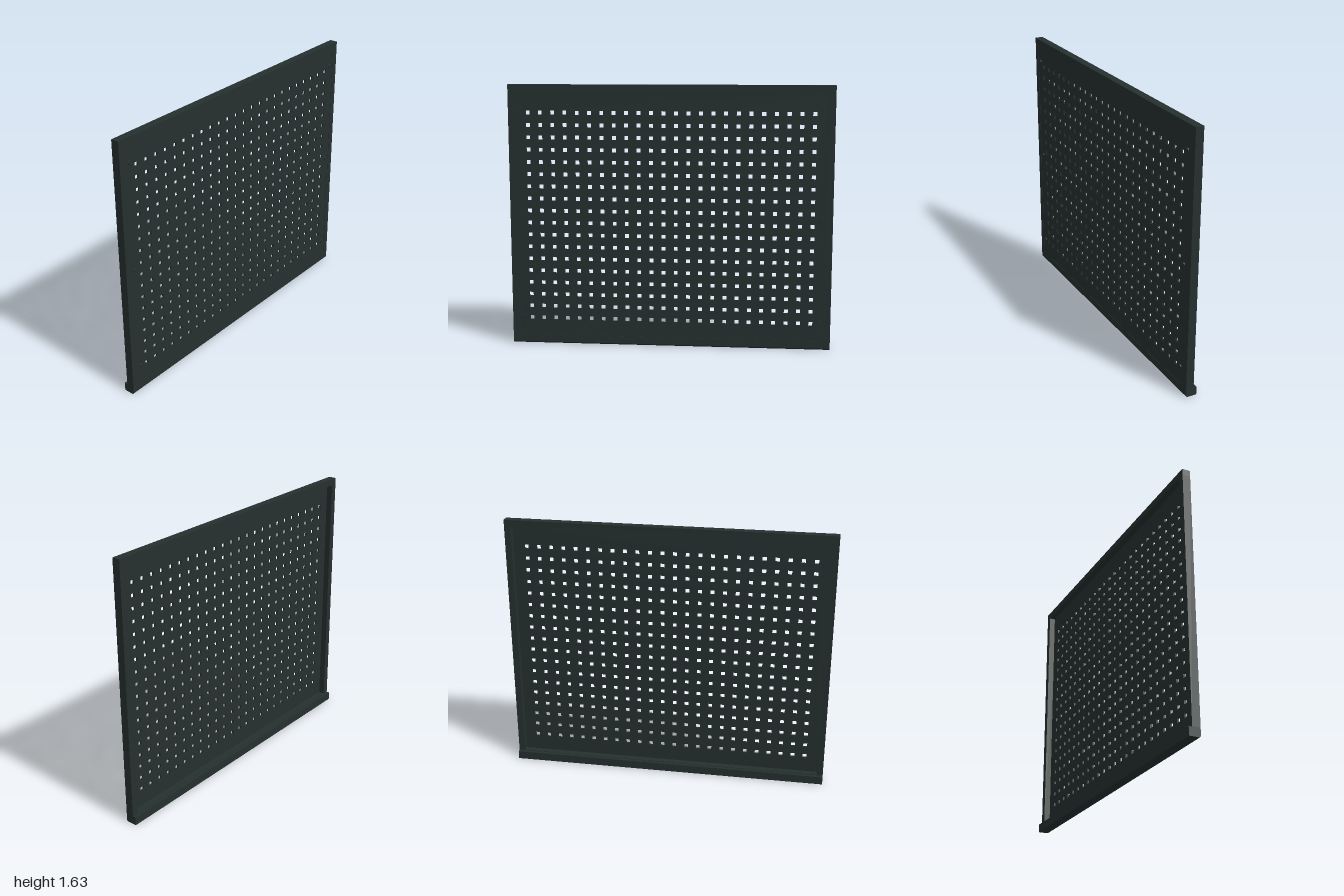
import * as THREE from 'three';

export function createModel() {
  const model = new THREE.Group();
  model.name = 'perforatedPanel';
  const paint = new THREE.MeshStandardMaterial({ color: 0x25302f });
  paint.name = 'dark green grey paint';

  const H = 1.635, RAIL = 0.04, FRONT = 0.033, BACK = -0.017;

  const add = (geometry, name, x = 0, y = 0, z = 0) => {
    const mesh = new THREE.Mesh(geometry, paint);
    mesh.name = name;
    mesh.position.set(x, y, z);
    model.add(mesh);
    return mesh;
  };
  const box = (name, x0, x1, y0, y1, z0, z1) =>
    add(new THREE.BoxGeometry(x1 - x0, y1 - y0, z1 - z0), name,
      (x0 + x1) / 2, (y0 + y1) / 2, (z0 + z1) / 2);
  const rect = (Type, x0, y0, x1, y1) => new Type([
    new THREE.Vector2(x0, y0), new THREE.Vector2(x1, y0),
    new THREE.Vector2(x1, y1), new THREE.Vector2(x0, y1),
  ]);

  // Thin sheet with a regular grid of square holes
  const sheet = rect(THREE.Shape, -0.96, 0.055, 0.96, H - RAIL);
  const columns = 24, rows = 18, pitch = 0.0763, hole = 0.0125;
  for (let i = 0; i < columns; i++) {
    for (let j = 0; j < rows; j++) {
      const x = (i - (columns - 1) / 2) * pitch;
      const y = 0.166 + j * pitch;
      sheet.holes.push(rect(THREE.Path, x - hole, y - hole, x + hole, y + hole));
    }
  }
  add(new THREE.ExtrudeGeometry(sheet, { depth: 0.01, bevelEnabled: false }),
    'perforatedSheet', 0, 0, 0.021);

  // Frame around the sheet, deeper than the sheet so the back is recessed
  box('topRail', -1, 1, H - RAIL, H, BACK, FRONT);
  for (const s of [-1, 1]) {
    box(s > 0 ? 'leftStile' : 'rightStile',
      Math.min(s * 0.96, s), Math.max(s * 0.96, s), 0.055, H - RAIL, BACK, FRONT);
  }

  // Bottom rail with a chamfered front edge and a ledge stepping out at the back
  const profile = new THREE.Shape([
    [-0.037, 0], [0.026, 0], [FRONT, 0.008], [FRONT, 0.055],
    [BACK, 0.055], [BACK, 0.052], [-0.037, 0.052],
  ].map(([z, y]) => new THREE.Vector2(-z, y)));
  const ledge = new THREE.ExtrudeGeometry(profile, { depth: 2, bevelEnabled: false });
  ledge.rotateY(Math.PI / 2);
  add(ledge, 'bottomRailAndLedge', -1, 0, 0);

  // Low round screw heads down both sides
  const head = new THREE.CylinderGeometry(0.011, 0.013, 0.008, 16);
  head.rotateX(Math.PI / 2);
  for (const x of [-0.927, 0.927]) {
    for (const y of [0.17, 0.825, 1.49]) add(head, 'screwHead', x, y, 0.033);
  }
  return model;
}
